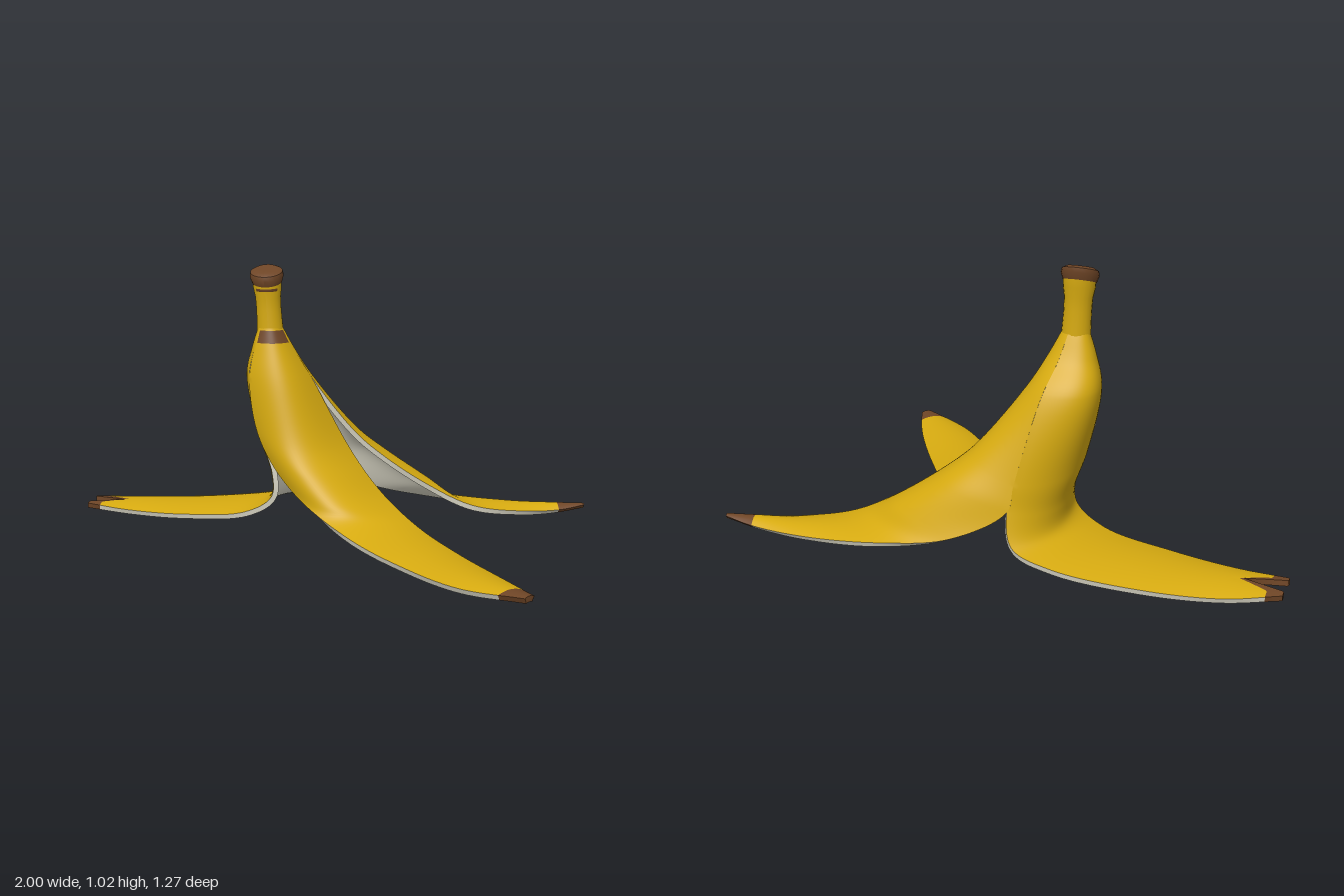
import * as THREE from 'three';
import { mergeVertices } from 'three/addons/utils/BufferGeometryUtils.js';

const mat = (name, color) => {
  const m = new THREE.MeshStandardMaterial({ color });
  m.name = name;
  return m;
};
const NU = 90, NV = 24, THICK = 0.02;

// Closed upper body: elliptic rings with height, centre x and z, radius x and z
const rings = [[.78, -.222, -.26, .05, .047], [.7, -.215, -.268, .085, .083], [.59, -.197, -.292, .132, .143]];
// Back seam, where two flaps stay joined below the rings
const seamHigh = [-.095, .3, -.515], seamLow = [-.08, .21, -.54];
// Edge heights of the four stations lying on the ground
const restHeights = [.055, .025, .022, .035];

// arc: ring angles of the two edges; bend: edge, middle, edge points of the hanging part;
// rest: x and z of both edges on the ground; tip: first brown row
const backFlap = {
  name: 'backFlap', arc: [.1, -1.29], lift: .01, tip: 80, fork: 0,
  bend: [
    [[.1, .37, -.325], [.06, .36, -.48], seamHigh],
    [[.2, .28, -.345], [.15, .27, -.53], seamLow],
    [[.38, .155, -.385], [.32, .16, -.545], [.1, .11, -.605]]],
  rest: [[.56, -.425, .35, -.635], [.75, -.485, .65, -.635], [.9, -.54, .88, -.62], [1, -.585, .995, -.608]],
};
const frontFlap = {
  name: 'frontFlap', arc: [2.36, .1], lift: .01, tip: 86, fork: 0, patch: true,
  bend: [
    [[-.26, .4, -.165], [-.07, .34, -.1], [.07, .34, -.28]],
    [[-.19, .27, -.125], [.01, .23, -.05], [.15, .23, -.25]],
    [[-.07, .155, -.05], [.11, .145, -.01], [.24, .14, -.2]]],
  rest: [[.13, .11, .37, -.08], [.33, .31, .53, .14], [.56, .53, .71, .42], [.77, .635, .8, .6]],
};
const sideFlap = {
  name: 'sideFlap', arc: [4.99, 2.36], lift: 0, tip: 87, fork: .14,
  bend: [
    [seamHigh, [-.245, .31, -.385], [-.255, .38, -.19]],
    [seamLow, [-.21, .19, -.4], [-.205, .22, -.195]],
    [[-.11, .1, -.575], [-.215, .11, -.405], [-.21, .125, -.2]]],
  rest: [[-.25, -.59, -.32, -.22], [-.56, -.565, -.58, -.255], [-.82, -.52, -.82, -.295], [-1, -.455, -1, -.325]],
};

// Edge, middle and edge curves of a flap, from the stem to the tip
function flapCurves({ arc, bend, rest, lift }) {
  const angles = [arc[0], (arc[0] + arc[1]) / 2, arc[1]];
  const body = rings.map(([y, cx, cz, rx, rz]) =>
    angles.map(a => [cx + rx * Math.cos(a), y, cz + rz * Math.sin(a)]));
  const ground = rest.map(([x0, z0, x1, z1], i) => {
    const y = restHeights[i] + lift, rise = i < 3 ? .02 : .005;
    return [[x0, y, z0], [(x0 + x1) / 2, y + rise, (z0 + z1) / 2], [x1, y, z1]];
  });
  const stations = [...body, ...bend, ...ground];
  return [0, 1, 2].map(k => new THREE.CatmullRomCurve3(stations.map(s => new THREE.Vector3(...s[k]))));
}

// Outer and inner point grids of a flap, bowed across by a parabola
function flapGrid(flap) {
  const curves = flapCurves(flap);
  const at = (u, v) => {
    const [l, m, r] = curves.map(c => c.getPoint(u));
    const p = l.multiplyScalar((1 - v) * (1 - 2 * v)).addScaledVector(m, 4 * v * (1 - v))
      .addScaledVector(r, v * (2 * v - 1));
    const notch = Math.max(0, 1 - Math.abs(2 * v - 1) / 0.6);
    p.x += flap.fork * notch * THREE.MathUtils.clamp((u - 0.88) / 0.12, 0, 1);
    return p;
  };
  const outer = [], inner = [], e = 0.004;
  for (let i = 0; i <= NU; i++) for (let j = 0; j <= NV; j++) {
    const u = i / NU, v = j / NV, p = at(u, v);
    const du = at(Math.min(1, u + e), v).sub(at(Math.max(0, u - e), v));
    const dv = at(u, Math.min(1, v + e)).sub(at(u, Math.max(0, v - e)));
    outer.push(p);
    inner.push(p.clone().addScaledVector(du.cross(dv).normalize(), -THICK));
  }
  return { outer, inner };
}

// Smooth geometry from points with one index list per material
function grouped(points, lists) {
  let g = new THREE.BufferGeometry().setFromPoints(points);
  g.setIndex(lists.flat());
  let start = 0;
  lists.forEach((l, k) => { g.addGroup(start, l.length, k); start += l.length; });
  g = mergeVertices(g, 1e-5);
  g.computeVertexNormals();
  return g;
}

// Stem piece turned on a slightly leaning axis; slant tilts its rings
function turned(profile, slant, phi = 0, arc = Math.PI * 2) {
  const g = new THREE.LatheGeometry(profile.map(p => new THREE.Vector2(...p)), 20, phi, arc);
  const p = g.attributes.position;
  for (let i = 0; i < p.count; i++) {
    const y = p.getY(i), z = p.getZ(i);
    p.setXYZ(i, p.getX(i) - 0.222 - (y - 0.78) * 0.06, y - slant * z, z * 0.9 - 0.26);
  }
  g.computeVertexNormals();
  return g;
}

export function createModel() {
  const model = new THREE.Group();
  const yellow = mat('peelYellow', 0xd6aa10);
  const cream = mat('innerCream', 0xdcd9c8);
  const brown = mat('driedBrown', 0x6e4526);
  const add = (name, geometry, material) => {
    const m = new THREE.Mesh(geometry, material);
    m.name = name;
    model.add(m);
  };

  const skinPoints = [], skin = [[], []];
  const id = (i, j) => i * (NV + 1) + j;
  for (const flap of [backFlap, frontFlap, sideFlap]) {
    const { outer, inner } = flapGrid(flap);
    const base = skinPoints.length, lining = [];
    skinPoints.push(...outer);
    for (let i = 0; i < NU; i++) for (let j = 0; j < NV; j++) {
      const a = id(i, j), b = id(i + 1, j), c = id(i + 1, j + 1), d = id(i, j + 1);
      const isPatch = flap.patch && i >= 1 && i < 7 && j > 0 && j < NV - 1;
      skin[i >= flap.tip || isPatch ? 1 : 0].push(...[a, b, c, a, c, d].map(k => k + base));
      lining.push(a, c, b, a, d, c);
    }
    add(flap.name + 'Lining', grouped(inner, [lining]), cream);

    // Cut edge running down one side, round the tip and up the other side
    const rim = [];
    for (let i = 0; i <= NU; i++) rim.push([id(i, 0), i]);
    for (let j = 1; j <= NV; j++) rim.push([id(NU, j), NU]);
    for (let i = NU - 1; i >= 0; i--) rim.push([id(i, NV), i]);
    const edge = [[], []];
    for (let k = 0; k < rim.length - 1; k++) {
      const isTip = Math.min(rim[k][1], rim[k + 1][1]) >= flap.tip, o = 2 * k;
      edge[isTip ? 1 : 0].push(o, o + 1, o + 3, o, o + 3, o + 2);
    }
    add(flap.name + 'Edge', grouped(rim.flatMap(([k]) => [outer[k], inner[k]]), edge), [cream, brown]);
  }
  add('peelSkin', grouped(skinPoints, skin), [yellow, brown]);

  // Stem with its dried, slanted end
  add('stem', turned([[.052, .755], [.05, .79], [.048, .85], [.049, .9], [.055, .935], [.056, .965]], 0.15), yellow);
  add('stemCap', turned([[.057, .955], [.065, .978], [.062, .995]], 0.32), brown);
  add('stemCut', turned([[.062, .995], [.045, 1.004], [0, 1]], 0.32), brown);
  add('stemStreak', turned([[.0545, .927], [.0575, .933], [.0575, .938]], 0.15, -0.7, 1.6), brown);
  return model;
}
